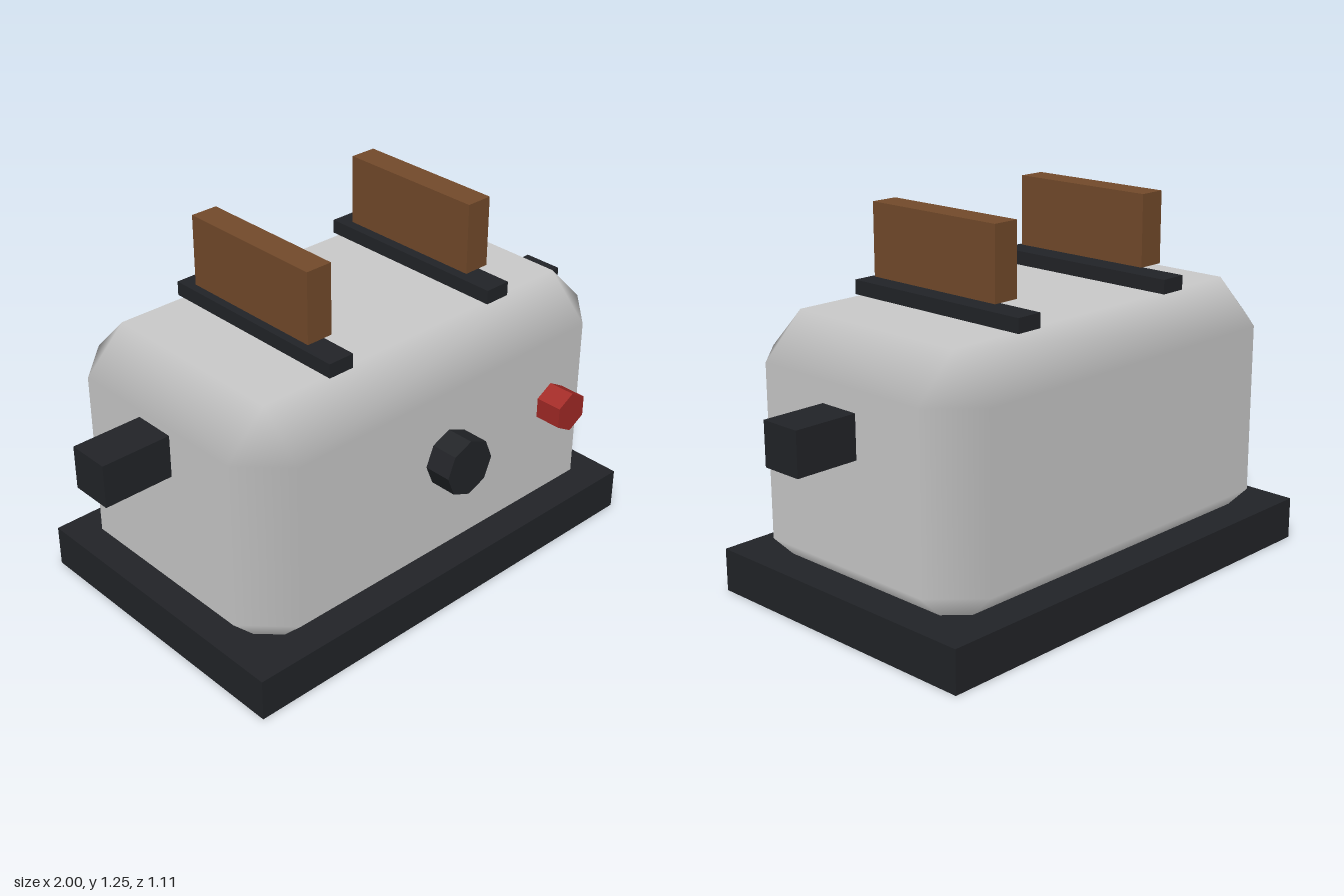
import * as THREE from 'three';
import { ConvexGeometry } from 'three/addons/geometries/ConvexGeometry.js';

const material = (color, flatShading = false) => new THREE.MeshStandardMaterial({ color, flatShading });

// Box with 45-degree chamfers; each vertex keeps the normal of the flat face
// it belongs to, so the chamfers shade as soft rounded edges.
function chamferedBox(w, h, d, c) {
  const half = [w / 2, h / 2, d / 2];
  const points = [];
  for (const sx of [-1, 1]) for (const sy of [-1, 1]) for (const sz of [-1, 1]) {
    for (let axis = 0; axis < 3; axis++) {
      const p = [sx, sy, sz].map((s, i) => s * (half[i] - (i === axis ? 0 : c)));
      points.push(new THREE.Vector3(...p));
    }
  }
  const geometry = new ConvexGeometry(points);
  const pos = geometry.attributes.position;
  const normal = geometry.attributes.normal;
  for (let i = 0; i < pos.count; i++) {
    const n = [0, 1, 2].map((a) => {
      const v = pos.getComponent(i, a);
      return Math.abs(v) > half[a] - c / 2 ? Math.sign(v) : 0;
    });
    normal.setXYZ(i, ...n);
  }
  return geometry;
}

export function createModel() {
  const group = new THREE.Group();
  const dark = material(0x222428, true);
  const brown = material(0x744b2b, true);
  const red = material(0xa32a26, true);

  function add(name, geometry, mat, x, y, z) {
    const mesh = new THREE.Mesh(geometry, mat);
    mesh.name = name;
    mesh.position.set(x, y, z);
    group.add(mesh);
    return mesh;
  }
  const box = (w, h, d) => new THREE.BoxGeometry(w, h, d);

  // Base plate and housing
  add('base', box(1.64, 0.145, 1.06), dark, 0.01, 0.0725, -0.025);
  add('body', chamferedBox(1.54, 0.865, 0.965, 0.144), material(0xcccccc), 0.01, 0.5085, -0.0225);

  // Slots with a slice of toast above each
  for (const [side, x] of [['right', -0.33], ['left', 0.347]]) {
    add(side + 'Slot', box(0.094, 0.048, 0.72), dark, x, 0.966, -0.025);
    add(side + 'Toast', box(0.094, 0.24, 0.53), brown, x, 1.135, -0.025);
  }

  // Side handles, the right one slightly higher
  add('rightHandle', box(0.24, 0.145, 0.145), dark, -0.88, 0.703, -0.024);
  add('leftHandle', box(0.24, 0.145, 0.145), dark, 0.88, 0.653, -0.024);

  // Front controls
  for (const [name, radius, sides, mat, x] of [
    ['dial', 0.097, 8, dark, 0.01],
    ['button', 0.07, 6, red, 0.492],
  ]) {
    const control = add(name, new THREE.CylinderGeometry(radius, radius, 0.1, sides), mat, x, 0.558, 0.504);
    control.rotation.x = Math.PI / 2;
  }

  return group;
}
